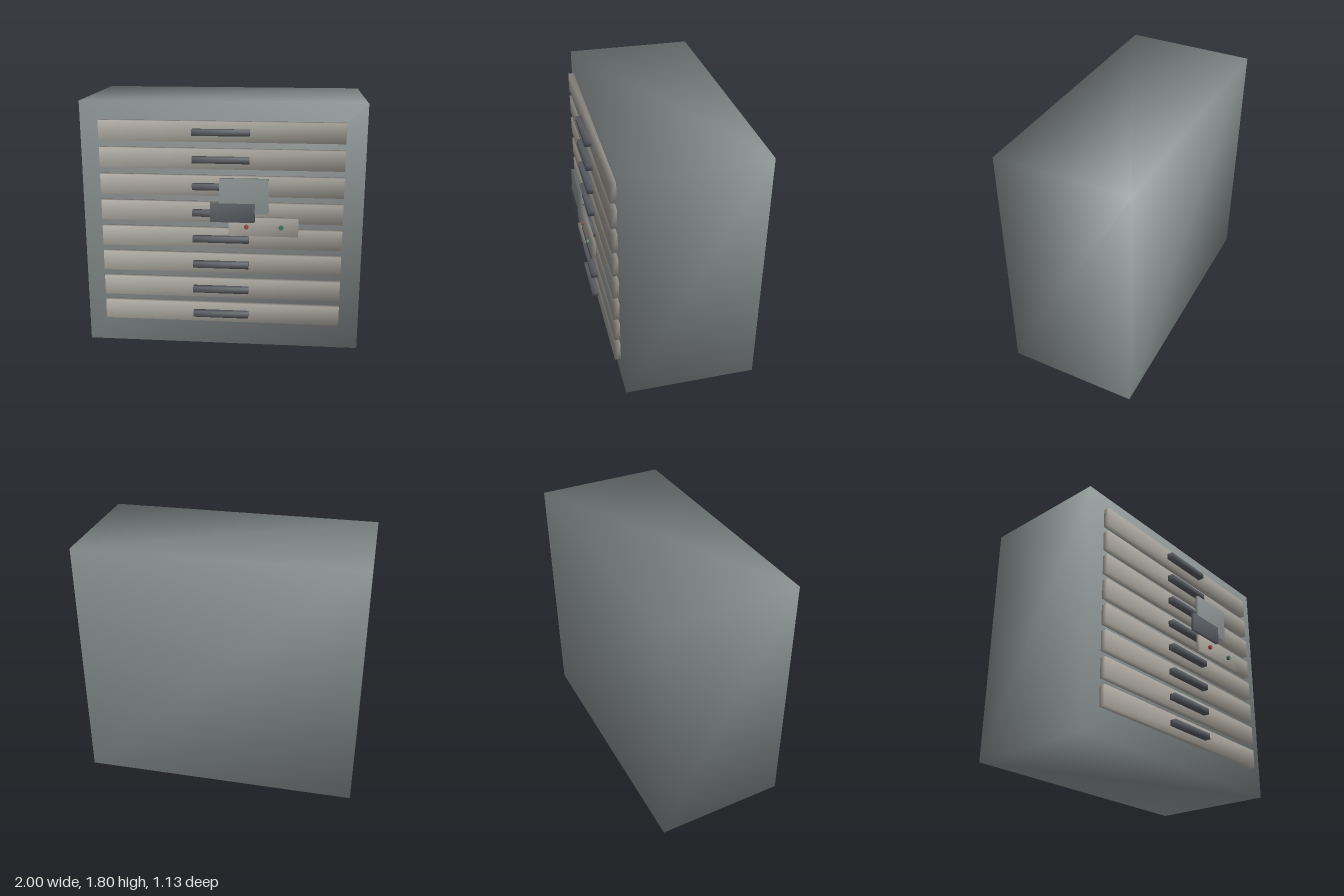
import * as THREE from 'three';
import { mergeVertices } from 'three/addons/utils/BufferGeometryUtils.js';

const mat = (color) => new THREE.MeshStandardMaterial({ color });

// Box given by its min and max on each axis, with corners welded for smooth shading
function box(name, material, [x0, x1], [y0, y1], [z0, z1]) {
  const raw = new THREE.BoxGeometry(x1 - x0, y1 - y0, z1 - z0);
  raw.deleteAttribute('normal');
  raw.deleteAttribute('uv');
  const geometry = mergeVertices(raw);
  geometry.computeVertexNormals();
  const mesh = new THREE.Mesh(geometry, material);
  mesh.name = name;
  mesh.position.set((x0 + x1) / 2, (y0 + y1) / 2, (z0 + z1) / 2);
  return mesh;
}

export function createModel() {
  const model = new THREE.Group();
  model.name = 'drawerCabinet';

  const steel = mat(0x8f9696);
  const drawerPaint = mat(0xaaa69e);
  const darkMetal = mat(0x5a5e64);

  // Cabinet body
  model.add(box('cabinetBody', steel, [-1, 1], [0, 1.805], [-0.565, 0.388]));

  // Eight drawer fronts, each with a bar handle
  for (let i = 0; i < 8; i++) {
    const y = 0.267 + i * 0.1914;
    const drawer = new THREE.Group();
    drawer.name = `drawer${i + 1}`;
    drawer.add(
      box('drawerFront', drawerPaint, [-0.86, 0.856], [y - 0.071, y + 0.071], [0.393, 0.436]),
      box('drawerHandle', darkMetal, [-0.2, 0.2], [y - 0.021, y + 0.021], [0.436, 0.482])
    );
    model.add(drawer);
  }

  // Control panel with a red and a green light
  const panel = new THREE.Group();
  panel.name = 'controlPanel';
  panel.add(box('panelPlate', drawerPaint, [0.062, 0.547], [0.89, 1.022], [0.49, 0.519]));
  const lights = [['redLight', 0xa84848, 0.185], ['greenLight', 0x3f7a5c, 0.427]];
  for (const [name, color, x] of lights) {
    const light = new THREE.Mesh(new THREE.CylinderGeometry(0.016, 0.016, 0.018, 16), mat(color));
    light.name = name;
    light.rotation.x = Math.PI / 2;
    light.position.set(x, 0.958, 0.528);
    panel.add(light);
  }
  model.add(panel);

  // Two overlapping plates in front of the drawers
  model.add(
    box('upperPlate', steel, [0, 0.337], [1.062, 1.308], [0.538, 0.563]),
    box('lowerPlate', darkMetal, [-0.063, 0.245], [1.0, 1.135], [0.54, 0.565])
  );

  return model;
}
